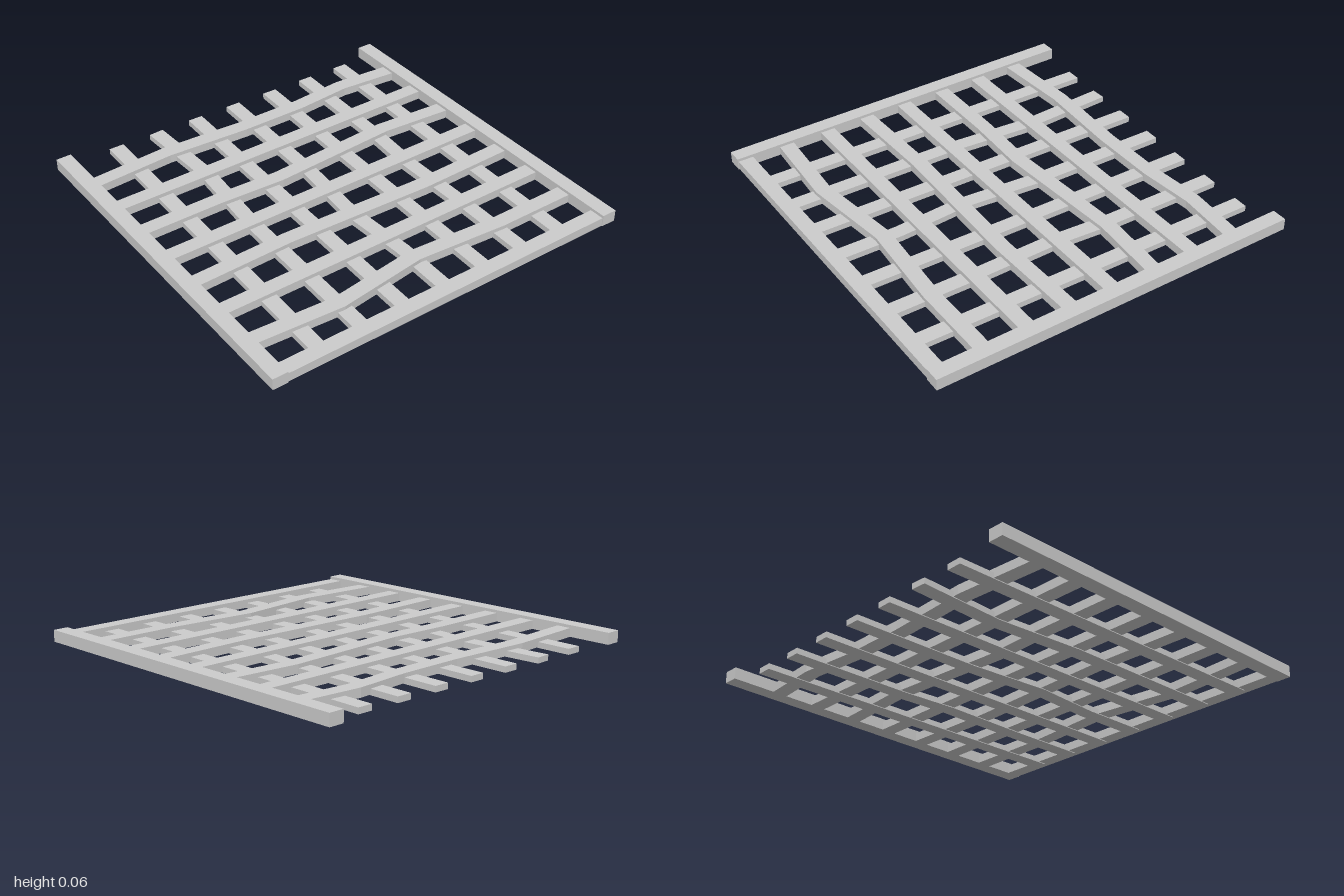
import * as THREE from 'three';

const W = 0.08; // width of every strip
const material = new THREE.MeshStandardMaterial({ color: 0xcccccc, flatShading: true });

// Flat strip following a centre line of [x, z] points, from height y0 to y1
function strip(name, points, y0, y1) {
  const last = points.length - 1;
  const left = [], right = [];
  points.forEach(([x, z], i) => {
    const a = points[Math.max(i - 1, 0)], b = points[Math.min(i + 1, last)];
    const dir = new THREE.Vector2(b[0] - a[0], a[1] - b[1]).normalize();
    const nx = -dir.y * W / 2, ny = dir.x * W / 2;
    left.push(new THREE.Vector2(x + nx, -z + ny));
    right.unshift(new THREE.Vector2(x - nx, -z - ny));
  });
  const shape = new THREE.Shape([...left, ...right]);
  const geo = new THREE.ExtrudeGeometry(shape, { depth: y1 - y0, bevelEnabled: false });
  geo.rotateX(-Math.PI / 2).translate(0, y0, 0);
  const mesh = new THREE.Mesh(geo, material);
  mesh.name = name;
  return mesh;
}

export function createModel() {
  const group = new THREE.Group();
  group.name = 'lattice';

  // Thick rails across the two ends
  group.add(strip('backRail', [[-0.985, -0.96], [0.985, -0.96]], 0.004, 0.065));
  group.add(strip('frontRail', [[-0.985, 0.96], [0.985, 0.96]], 0.004, 0.065));

  // Straight side rail
  group.add(strip('sideRail', [[0.94, -0.93], [0.94, 0.93]], 0.004, 0.05));

  // Long bars, some of them warped: [x, z] along each
  const bars = [
    [[-0.712, -0.93], [-0.738, -0.61], [-0.712, -0.31], [-0.712, 0.05], [-0.738, 0.5], [-0.712, 0.93]],
    [[-0.474, -0.93], [-0.474, 0.93]],
    [[-0.238, -0.93], [-0.267, -0.54], [-0.222, 0.15], [-0.238, 0.5], [-0.238, 0.93]],
    [[0, -0.93], [0, 0.93]],
    [[0.233, -0.93], [0.246, -0.4], [0.217, 0.4], [0.233, 0.93]],
    [[0.468, -0.93], [0.468, 0.93]],
    [[0.706, -0.93], [0.706, -0.5], [0.671, -0.01], [0.735, 0.47], [0.706, 0.93]],
  ];
  bars.forEach((p, i) => group.add(strip(`longBar${i + 1}`, p, 0.004, 0.05)));

  // Thin cross slats below, slightly skewed, with loose ends on the right
  const slats = [
    [[-0.933, -0.743], [0.95, -0.709]],
    [[-0.937, -0.508], [-0.27, -0.496], [0.03, -0.474], [0.5, -0.479], [0.95, -0.473]],
    [[-0.941, -0.272], [0.95, -0.237]],
    [[-0.945, -0.036], [-0.23, -0.023], [0.21, 0.016], [0.58, -0.008], [0.95, 0]],
    [[-0.949, 0.2], [0.95, 0.235]],
    [[-0.953, 0.438], [-0.48, 0.415], [0, 0.455], [0.95, 0.471]],
    [[-0.957, 0.673], [0.95, 0.707]],
  ];
  slats.forEach((p, i) => group.add(strip(`crossSlat${i + 1}`, p, 0, 0.03)));

  return group;
}
